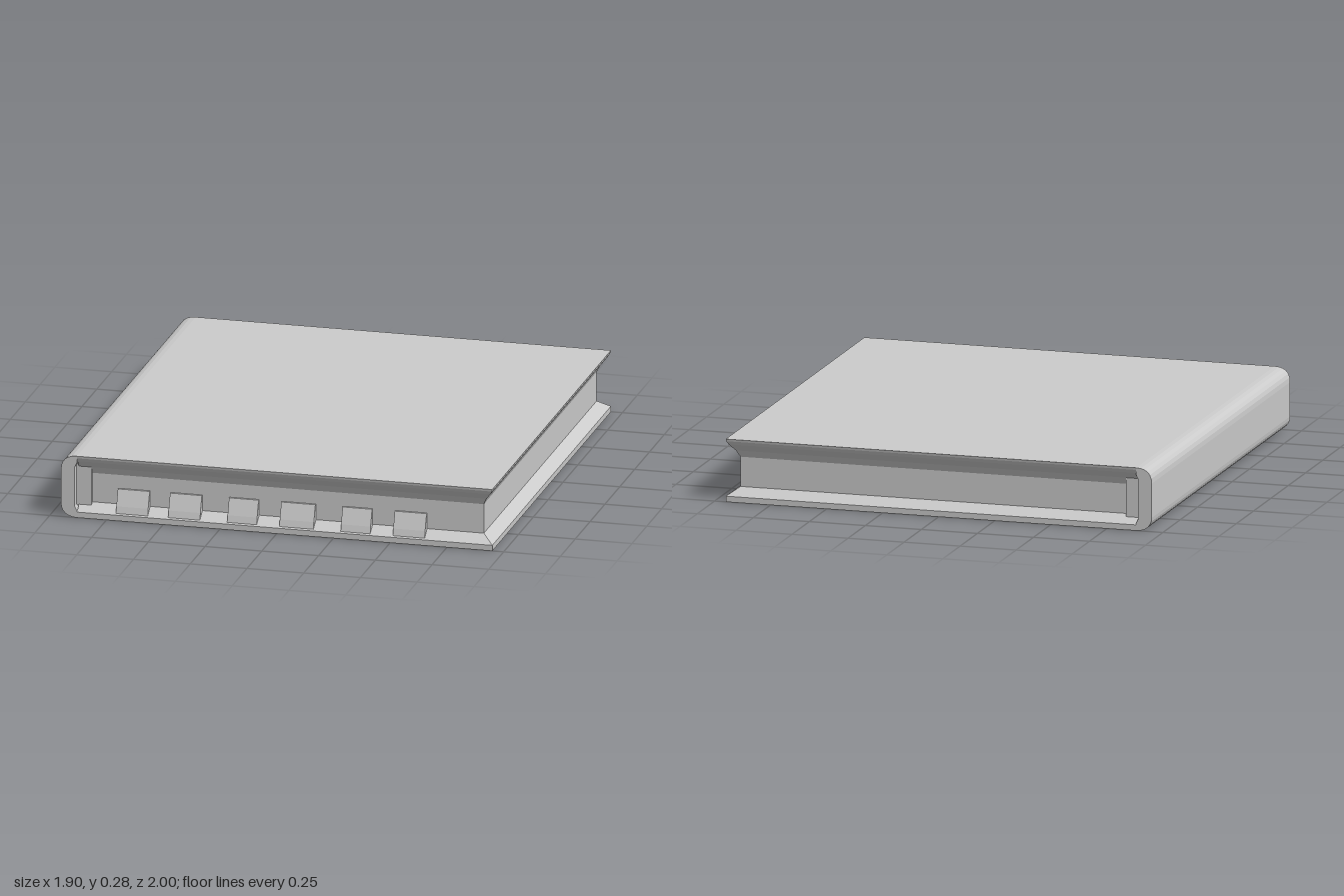
import * as THREE from 'three';

const material = new THREE.MeshStandardMaterial({ color: 0xcccccc, flatShading: true });
const X0 = -0.88, X1 = 0.95, Z = 1, H = 0.275;

// Stack of rectangles, each [height, inset on the three open sides].
function loft(levels) {
  const pos = [], idx = [];
  for (const [y, d] of levels) {
    pos.push(X0, y, Z - d, X1 - d, y, Z - d, X1 - d, y, -Z + d, X0, y, -Z + d);
  }
  for (let l = 0; l < levels.length - 1; l++) {
    for (let i = 0; i < 4; i++) {
      const a = l * 4 + i, b = l * 4 + (i + 1) % 4;
      idx.push(a, b, b + 4, a, b + 4, a + 4);
    }
  }
  const t = (levels.length - 1) * 4;
  idx.push(0, 2, 1, 0, 3, 2, t, t + 1, t + 2, t, t + 2, t + 3);
  const indexed = new THREE.BufferGeometry();
  indexed.setAttribute('position', new THREE.Float32BufferAttribute(pos, 3));
  indexed.setIndex(idx);
  const g = indexed.toNonIndexed();
  g.computeVertexNormals();
  return g;
}

function add(group, name, geometry) {
  const mesh = new THREE.Mesh(geometry, material);
  mesh.name = name;
  group.add(mesh);
  return mesh;
}

export function createModel() {
  const book = new THREE.Group();
  book.name = 'book';

  // Cover boards with inner faces sloping in to the page block
  add(book, 'bottomCover', loft([[0, 0], [0.025, 0], [0.06, 0.05]]));
  add(book, 'pages', loft([[0.05, 0.05], [0.2, 0.05]]));
  add(book, 'topCover', loft([[0.19, 0.05], [0.22, 0.035], [0.25, 0.01], [0.265, 0.002], [H, 0]]));

  // Rounded spine wrapping the left edge
  const s = new THREE.Shape();
  s.moveTo(X0, 0);
  s.lineTo(X0, 0.03);
  s.lineTo(-0.89, 0.05);
  s.lineTo(-0.89, 0.225);
  s.lineTo(X0, 0.245);
  s.lineTo(X0, H);
  s.bezierCurveTo(-0.925, H, -0.95, 0.255, -0.95, 0.21);
  s.lineTo(-0.95, 0.06);
  s.bezierCurveTo(-0.95, 0.025, -0.925, 0, X0, 0);
  const spine = new THREE.ExtrudeGeometry(s, { depth: 2 * Z, bevelEnabled: false, curveSegments: 6 });
  spine.translate(0, 0, -Z);
  add(book, 'spine', spine);

  // Binding strip between the spine and the pages
  const strip = new THREE.BoxGeometry(0.07, 0.19, 1.93);
  strip.translate(-0.86, 0.14, 0);
  add(book, 'bindingStrip', strip);

  // Index tabs sloping from the page edge down to the bottom cover
  const profile = new THREE.Shape([
    [-0.94, 0.02], [-0.995, 0.02], [-0.985, 0.06], [-0.96, 0.13], [-0.94, 0.13],
  ].map(([x, y]) => new THREE.Vector2(x, y)));
  const tabs = [[-0.71, -0.57], [-0.48, -0.34], [-0.22, -0.09], [0.01, 0.16], [0.28, 0.41], [0.51, 0.65]];
  const tabGroup = new THREE.Group();
  tabGroup.name = 'indexTabs';
  for (const [a, b] of tabs) {
    const tab = new THREE.ExtrudeGeometry(profile, { depth: b - a, bevelEnabled: false });
    tab.rotateY(Math.PI / 2);
    tab.translate(a, 0, 0);
    add(tabGroup, 'indexTab', tab);
  }
  book.add(tabGroup);
  return book;
}
